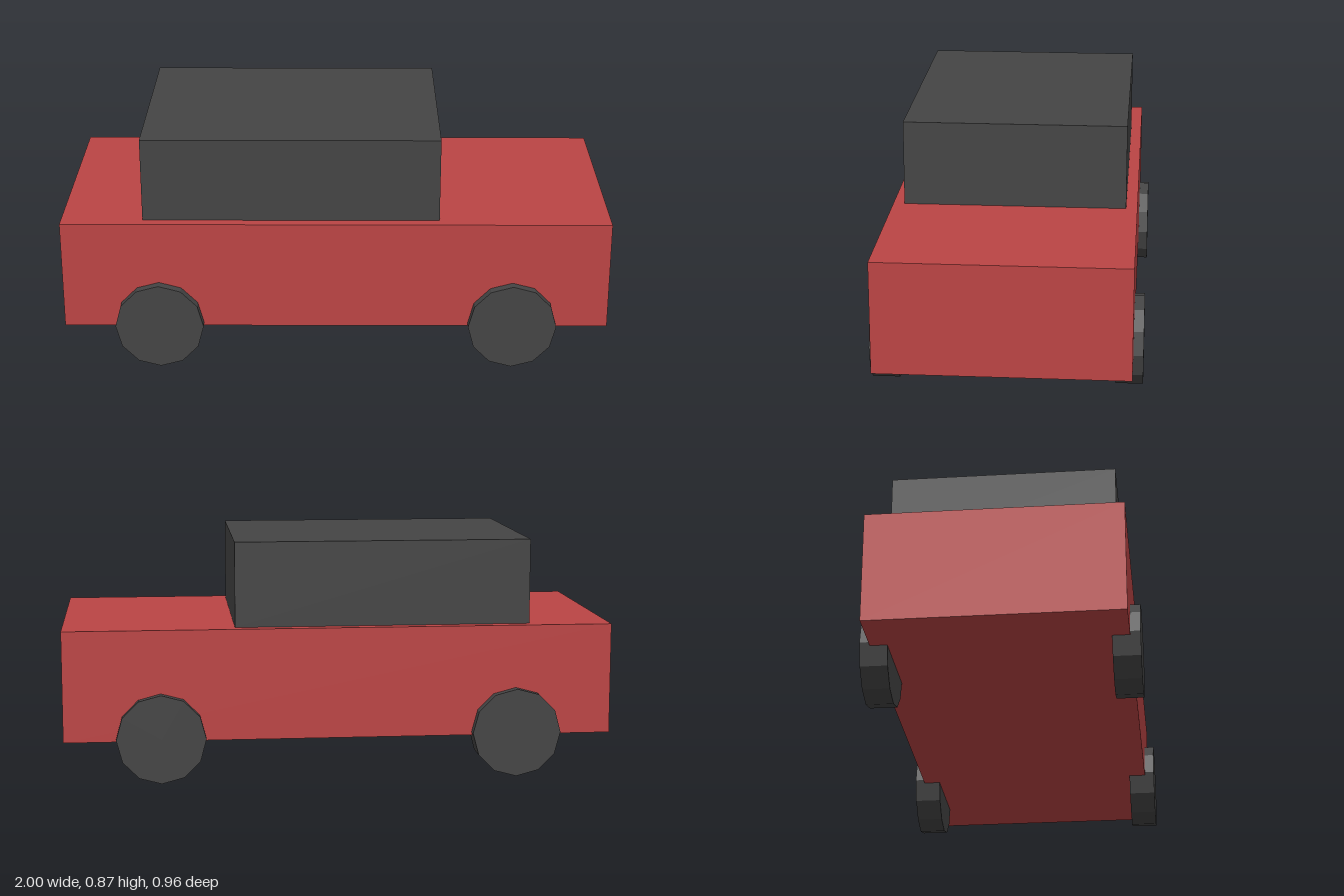
import * as THREE from 'three';

export function createModel() {
  const car = new THREE.Group();
  car.name = 'car';

  const red = new THREE.MeshStandardMaterial({ color: 0xbb4444, flatShading: true });
  red.name = 'red paint';
  const dark = new THREE.MeshStandardMaterial({ color: 0x444444, flatShading: true });
  dark.name = 'dark grey';

  const add = (name, geometry, material, x, y, z) => {
    const mesh = new THREE.Mesh(geometry, material);
    mesh.name = name;
    mesh.position.set(x, y, z);
    car.add(mesh);
  };

  // Body and cabin, the cabin set towards -x
  add('body', new THREE.BoxGeometry(2, 0.405, 0.892), red, 0, 0.3525, 0);
  add('cabin', new THREE.BoxGeometry(1.08, 0.31, 0.81), dark, -0.163, 0.71, 0);

  // Four twelve-sided wheels with axles along z
  const radius = 0.162;
  const wheel = new THREE.CylinderGeometry(radius, radius, 0.097, 12).rotateX(Math.PI / 2);
  for (const [end, x] of [['positiveX', 0.648], ['negativeX', -0.648]]) {
    for (const [side, z] of [['Front', 0.433], ['Back', -0.433]]) {
      add(`${end}${side}Wheel`, wheel, dark, x, radius, z);
    }
  }

  return car;
}
